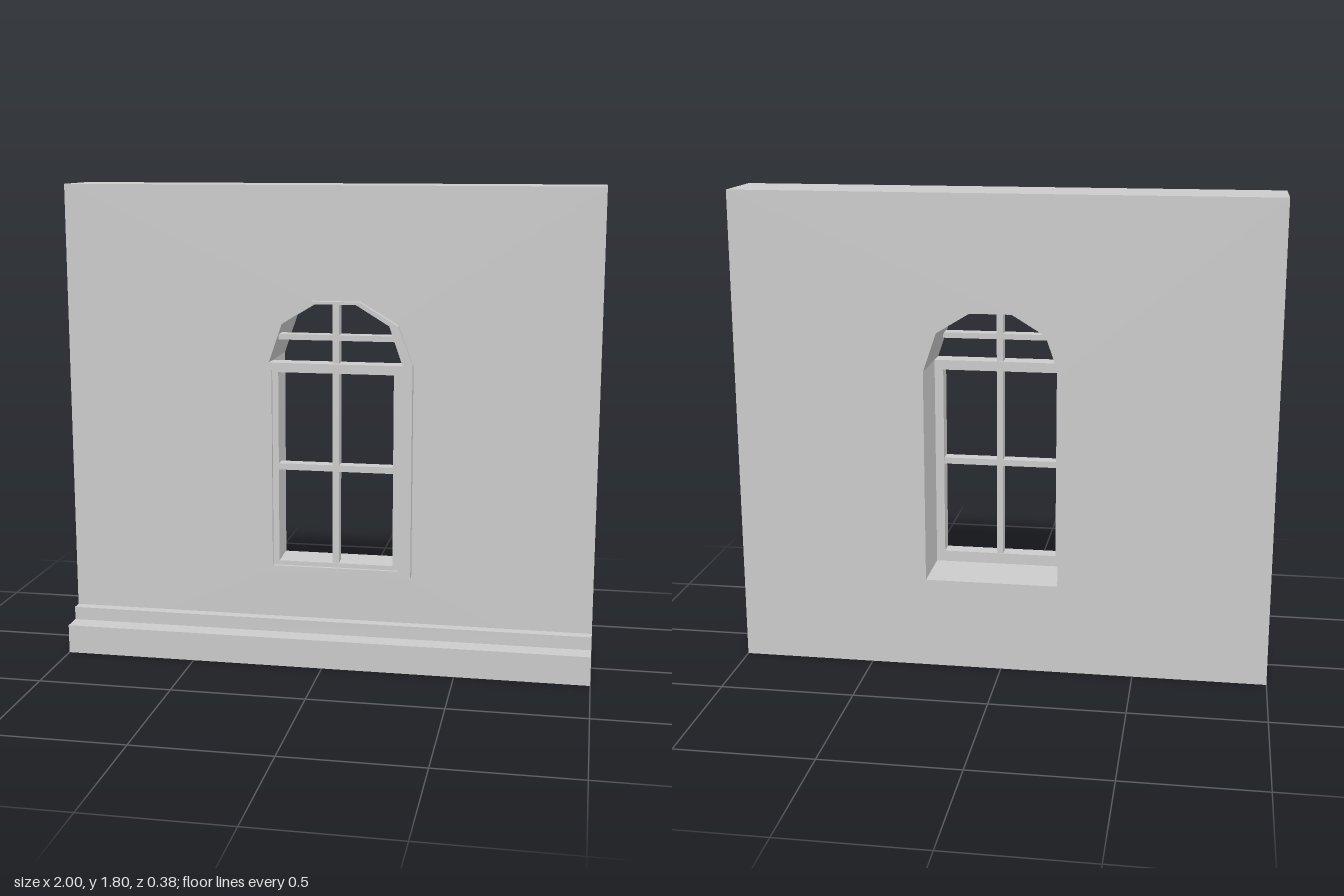
import * as THREE from 'three';

const CX = 0.036;                       // window centre line
const BACK = -0.188, WALL = 0.072, TRIM = 0.103, SASH_BACK = 0.03, SASH_FRONT = 0.09;
const SILL = 0.345, SPRING = 1.15;
const material = new THREE.MeshStandardMaterial({ color: 0xcccccc, flatShading: true });

// Mirrored outline from the right-hand points, listed bottom to top
function mirrored(points, Type) {
  const right = points.map(([x, y]) => new THREE.Vector2(CX + x, y));
  const left = points.map(([x, y]) => new THREE.Vector2(CX - x, y)).reverse();
  return new Type([...right, ...left]);
}

function extrude(name, shape, z0, z1) {
  const geometry = new THREE.ExtrudeGeometry(shape, { depth: z1 - z0, bevelEnabled: false });
  geometry.translate(0, 0, z0);
  const mesh = new THREE.Mesh(geometry, material);
  mesh.name = name;
  return mesh;
}

function bar(name, x0, x1, y0, y1, z0, z1) {
  const mesh = new THREE.Mesh(new THREE.BoxGeometry(x1 - x0, y1 - y0, z1 - z0), material);
  mesh.position.set((x0 + x1) / 2, (y0 + y1) / 2, (z0 + z1) / 2);
  mesh.name = name;
  return mesh;
}

export function createModel() {
  const model = new THREE.Group();
  model.name = 'wallWithArchedWindow';

  // Faceted arch, used for the wall opening and the trim
  const arch = [[0.25, SPRING], [0.2, 1.295], [0.077, 1.37]];

  // Wall pierced by the opening
  const wall = new THREE.Shape([[-1, 0], [1, 0], [1, 1.8], [-1, 1.8]].map(p => new THREE.Vector2(...p)));
  wall.holes.push(mirrored([[0.25, SILL], ...arch], THREE.Path));
  model.add(extrude('wall', wall, BACK, WALL));

  // Stepped plinth along the front
  const profile = [[WALL, 0], [0.188, 0], [0.188, 0.11], [0.112, 0.11], [0.112, 0.16], [WALL, 0.16]];
  const plinth = extrude('plinth', new THREE.Shape(profile.map(([z, y]) => new THREE.Vector2(-z, y))), -1, 1);
  plinth.rotation.y = Math.PI / 2;
  model.add(plinth);

  const win = new THREE.Group();
  win.name = 'window';
  model.add(win);

  // Raised trim with a rectangular light below and an arched light above
  const trim = mirrored([[0.287, SILL], [0.287, SPRING], [0.232, 1.295], [0.09, 1.38]], THREE.Shape);
  trim.holes.push(mirrored([[0.24, 0.37], [0.24, 1.125]], THREE.Path), mirrored(arch, THREE.Path));
  win.add(extrude('trim', trim, WALL, TRIM));

  // Recessed sash of the lower light
  const sash = mirrored([[0.25, SILL], [0.25, 1.125]], THREE.Shape);
  sash.holes.push(mirrored([[0.217, 0.387], [0.217, 1.113]], THREE.Path));
  win.add(extrude('sash', sash, SASH_BACK, SASH_FRONT));
  win.add(bar('transom', CX - 0.25, CX + 0.25, 1.125, SPRING, SASH_BACK, WALL));

  // Glazing bars
  const z0 = 0.035, z1 = 0.085, h = 0.012;
  win.add(bar('lowerMullion', CX - h, CX + h, 0.387, 1.113, z0, z1));
  win.add(bar('lowerCrossbar', CX - 0.217, CX + 0.217, 0.741, 0.765, z0, z1));
  win.add(bar('archMullion', CX - h, CX + h, SPRING, 1.37, z0, z1));
  win.add(bar('archCrossbar', CX - 0.217, CX + 0.217, 1.235, 1.256, z0, z1));

  return model;
}
